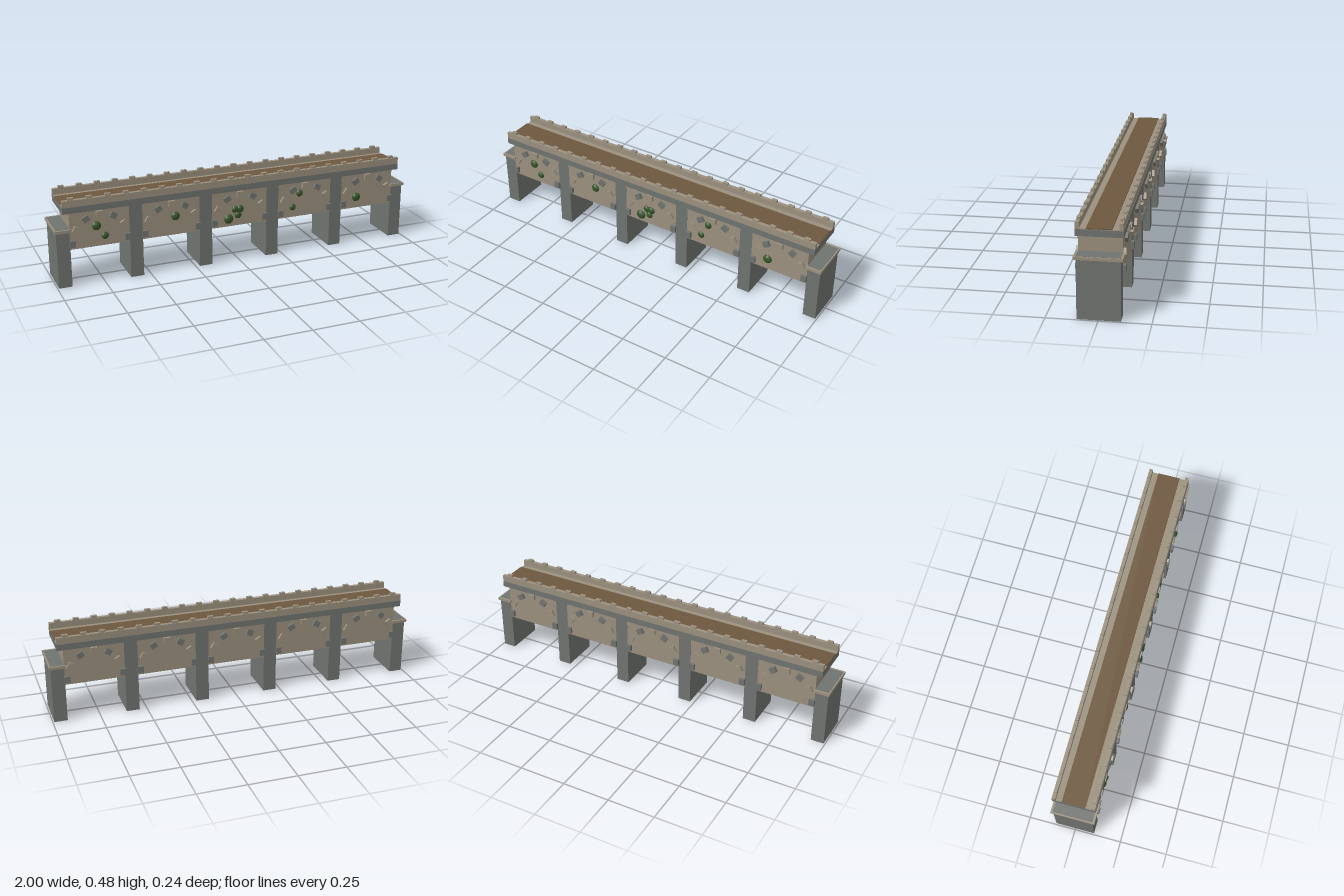
import * as THREE from 'three';

const mat = (name, color) => {
  const m = new THREE.MeshStandardMaterial({ color, flatShading: true });
  m.name = name;
  return m;
};

export function createModel() {
  const root = new THREE.Group();
  root.name = 'viaduct';
  const beige = mat('beige stone', 0x9c917f);
  const grey = mat('grey stone', 0x707470);
  const brown = mat('earth track', 0x6e583f);
  const green = mat('ivy green', 0x38562a);

  const body = new THREE.Group();
  body.name = 'bridge';
  body.position.z = -0.0015;
  root.add(body);

  // Box given by its size, centre x, bottom y and centre z
  const box = (name, w, h, d, x, y, z, material) => {
    const m = new THREE.Mesh(new THREE.BoxGeometry(w, h, d), material);
    m.name = name;
    m.position.set(x, y + h / 2, z);
    body.add(m);
    return m;
  };

  const span = 0.383, pierW = 0.07, depth = 0.208;

  // Piers; the two outer ones are shorter and wear caps
  for (let i = 0; i < 6; i++) {
    const x = (i - 2.5) * span, end = i === 0 || i === 5;
    box(end ? 'endPier' : 'pier', pierW, end ? 0.316 : 0.4, depth, x, 0, 0, grey);
    if (end) box('pierCap', 0.084, 0.015, 0.231, x, 0.3, 0, beige);
  }

  // Bays: solid wall with a ring of alternating arch stones on both faces
  for (let b = 0; b < 5; b++) {
    const x = (b - 2) * span;
    box('bayWall', span - pierW, 0.197, 0.207, x, 0.203, 0, beige);
    for (const side of [1, -1]) {
      for (let k = 0; k < 7; k++) {
        const a = (k * Math.PI) / 6;
        const stone = box('archStone', 0.03, 0.035, 0.02, 0, 0, side * 0.108, k % 2 ? beige : grey);
        stone.position.x = x + Math.cos(a) * 0.145;
        stone.position.y = 0.235 + Math.sin(a) * 0.145;
        stone.rotation.z = a;
      }
    }
  }

  // Deck, paving and track
  const length = 1.91;
  box('deck', length, 0.033, 0.227, 0, 0.4, 0, grey);
  box('paving', length, 0.003, 0.186, 0, 0.433, 0, beige);
  box('track', length, 0.006, 0.122, 0, 0.435, 0, brown);

  // Parapets with a row of small coping blocks
  for (const side of [1, -1]) {
    box('parapet', length, 0.035, 0.019, 0, 0.433, side * 0.102, beige);
    for (let i = 0; i < 20; i++) {
      box('copingBlock', 0.03, 0.012, 0.016, (i - 9.5) * 0.0957, 0.468, side * 0.101, beige);
    }
  }

  // Ivy clumps on the front walls: x, y, radius
  const clumps = [
    [-0.783, 0.314, 0.025], [-0.74, 0.255, 0.02], [-0.36, 0.306, 0.024],
    [-0.062, 0.245, 0.027], [-0.025, 0.295, 0.02], [0.004, 0.295, 0.021],
    [-0.008, 0.262, 0.02], [0.313, 0.26, 0.019], [0.353, 0.336, 0.02], [0.703, 0.266, 0.025],
  ];
  const leaf = new THREE.IcosahedronGeometry(1, 1);
  for (const [x, y, r] of clumps) {
    const m = new THREE.Mesh(leaf, green);
    m.name = 'ivyClump';
    m.position.set(x, y, 0.104);
    m.scale.set(r, r, r * 0.62);
    body.add(m);
  }

  return root;
}
